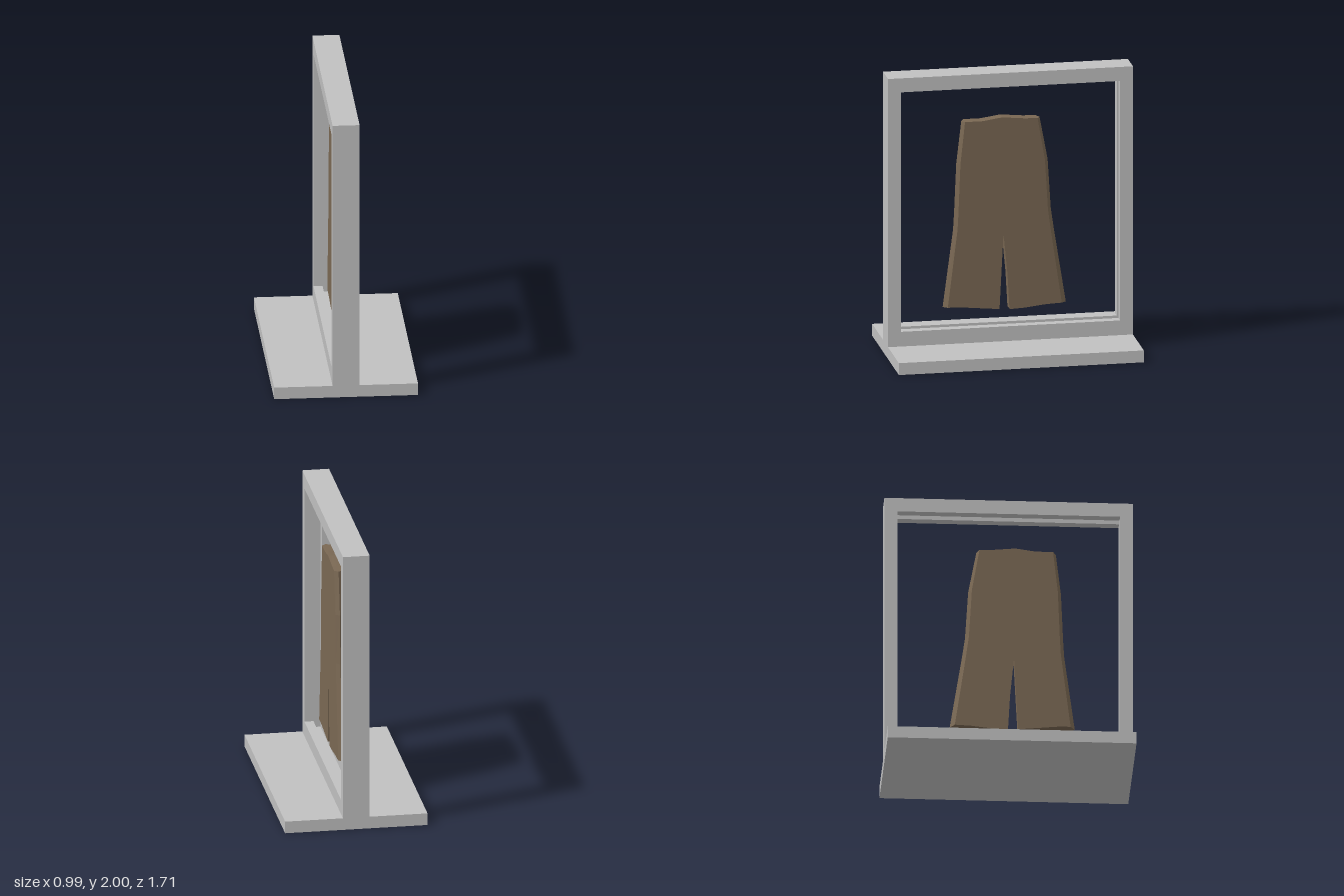
import * as THREE from 'three';

// Extrude a (z, y) shape across x, from xMin to xMax
function extrudeAcross(shape, xMin, xMax, steps = 1) {
  const g = new THREE.ExtrudeGeometry(shape, { depth: xMax - xMin, steps, bevelEnabled: false });
  g.rotateY(-Math.PI / 2);
  g.translate(xMax, 0, 0);
  return g;
}

function rectPoints(halfWidth, y0, y1) {
  return [[-halfWidth, y0], [halfWidth, y0], [halfWidth, y1], [-halfWidth, y1]]
    .map(([z, y]) => new THREE.Vector2(z, y));
}

function frameShape(groove) {
  const shape = new THREE.Shape(rectPoints(0.855, 0.085, 2));
  shape.holes.push(new THREE.Path(rectPoints(0.765 + groove, 0.19 - groove, 1.9 + groove)));
  return shape;
}

export function createModel() {
  const model = new THREE.Group();
  const grey = new THREE.MeshStandardMaterial({ color: 0xc0c0c0 });
  grey.name = 'frameGrey';
  const brown = new THREE.MeshStandardMaterial({ color: 0x7a6853 });
  brown.name = 'clothBrown';

  const add = (name, geometry, material, parent = model) => {
    const mesh = new THREE.Mesh(geometry, material);
    mesh.name = name;
    parent.add(mesh);
  };

  // Base plate
  const base = new THREE.BoxGeometry(0.99, 0.085, 1.71);
  base.translate(0, 0.0425, 0);
  add('base', base, grey);

  // Frame: two lips with a recessed groove between them
  const frame = new THREE.Group();
  frame.name = 'frame';
  model.add(frame);
  add('leftLip', extrudeAcross(frameShape(0), 0.03, 0.093), grey, frame);
  add('groove', extrudeAcross(frameShape(0.07), -0.03, 0.03), grey, frame);
  add('rightLip', extrudeAcross(frameShape(0), -0.093, -0.03), grey, frame);

  // Trousers hanging in the opening, outline in (z, y)
  const outline = [
    [0.33, 1.65], [0.365, 1.35], [0.38, 1.0], [0.387, 0.88], [0.46, 0.33], [0.38, 0.33],
    [0.07, 0.302], [0.04, 0.84], [0.01, 0.55], [-0.005, 0.298], [-0.12, 0.303],
    [-0.28, 0.32], [-0.4, 0.325], [-0.315, 0.86], [-0.295, 1.0], [-0.273, 1.35],
    [-0.217, 1.652], [-0.12, 1.655], [0.05, 1.67], [0.2, 1.65],
  ].map(([z, y]) => new THREE.Vector2(z, y));
  const trousers = extrudeAcross(new THREE.Shape(outline), -0.03, 0.046, 2);

  // Narrow both faces so the side seams slope; the widest line sits at x = 0.018
  const p = trousers.attributes.position;
  for (let i = 0; i < p.count; i++) {
    if (Math.abs(p.getX(i) - 0.008) < 0.01) p.setX(i, 0.018);
    else p.setZ(i, 0.04 + (p.getZ(i) - 0.04) * 0.925);
  }
  trousers.computeVertexNormals();
  add('trousers', trousers, brown);

  return model;
}
